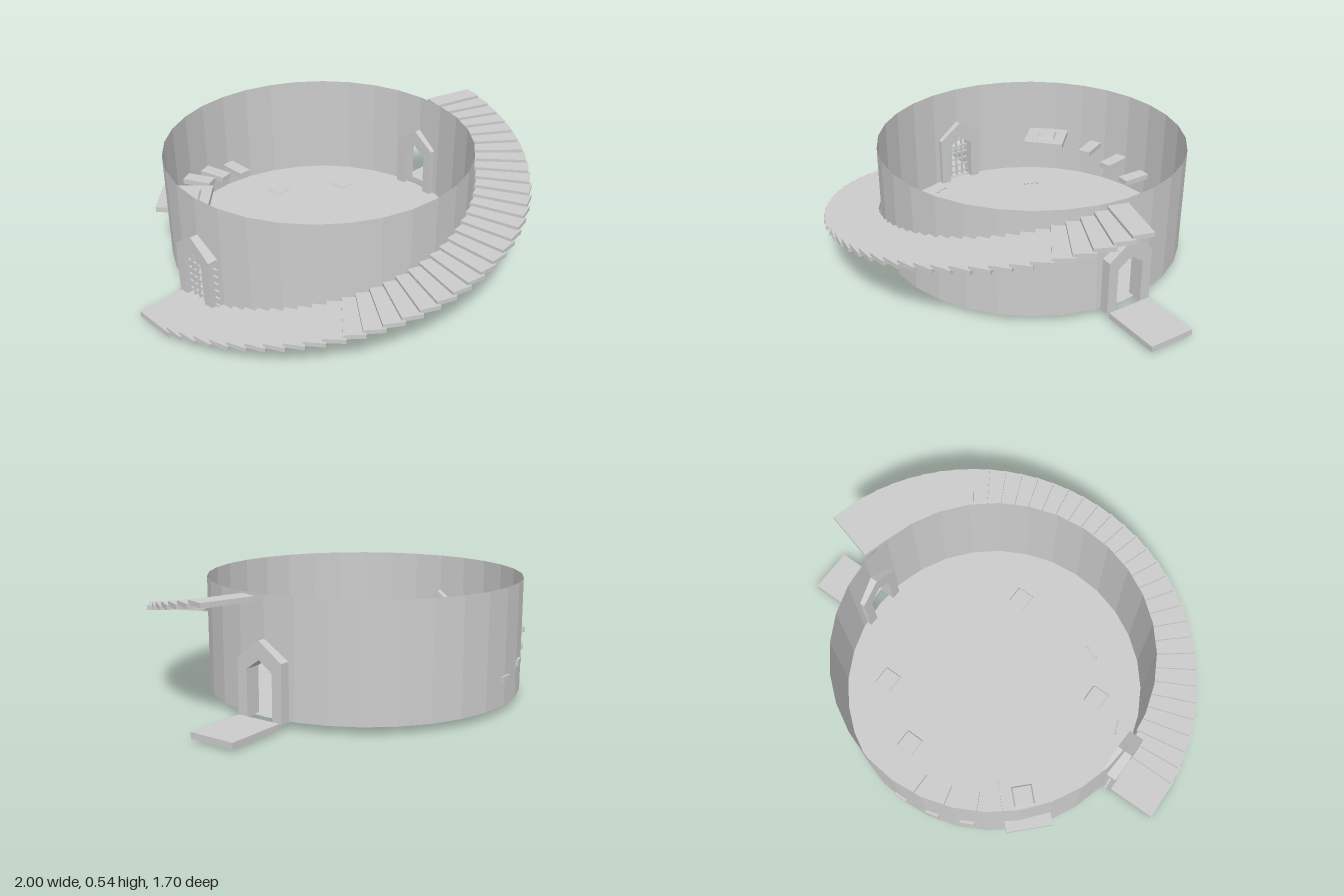
import * as THREE from 'three';

const CX = -0.03, CZ = -0.128, R = 0.712, SIDES = 32;
const FLOOR = 0.035, TOP = 0.54;

export function createModel() {
  const root = new THREE.Group();
  const mat = new THREE.MeshStandardMaterial({ color: 0xcccccc, flatShading: true });
  const thin = new THREE.MeshStandardMaterial({ color: 0xcccccc, flatShading: true, side: THREE.DoubleSide });

  // everything is placed around the axis of the round wall
  const tower = new THREE.Group();
  tower.name = 'tower';
  tower.position.set(CX, 0, CZ);
  root.add(tower);

  const add = (name, geo, x = 0, y = 0, z = 0, parent = tower, material = mat) => {
    const m = new THREE.Mesh(geo, material);
    m.name = name;
    m.position.set(x, y, z);
    parent.add(m);
    return m;
  };
  const box = (name, w, h, d, x, y, z, parent) =>
    add(name, new THREE.BoxGeometry(w, h, d), x, y, z, parent);
  const polygon = pts => new THREE.Shape(pts.map(p => new THREE.Vector2(p[0], p[1])));

  // thin faceted wall; the facets beside each door carry half of its pointed opening
  const doorHalf = 0.065, doorEaves = 0.235, doorApex = 0.28;
  const facetWidth = 2 * R * Math.sin(Math.PI / SIDES);
  const wall = new THREE.Group();
  wall.name = 'roundWall';
  tower.add(wall);
  for (let i = 0; i < SIDES; i++) {
    const doorAtStart = i % 16 === 0, doorAtEnd = i % 16 === 15;
    const w = facetWidth;
    const shape = doorAtStart || doorAtEnd
      ? polygon([[doorHalf, FLOOR], [w, FLOOR], [w, TOP], [0, TOP], [0, doorApex], [doorHalf, doorEaves]])
      : polygon([[0, FLOOR], [w, FLOOR], [w, TOP], [0, TOP]]);
    const geo = new THREE.ShapeGeometry(shape);
    const a0 = (i / SIDES) * Math.PI * 2, a1 = ((i + 1) / SIDES) * Math.PI * 2;
    const p = geo.attributes.position;
    for (let k = 0; k < p.count; k++) {
      let u = p.getX(k) / w;
      if (doorAtEnd) u = 1 - u;
      p.setXYZ(k,
        R * THREE.MathUtils.lerp(Math.cos(a0), Math.cos(a1), u),
        p.getY(k),
        R * THREE.MathUtils.lerp(Math.sin(a0), Math.sin(a1), u));
    }
    geo.computeVertexNormals();
    add('wallFacet', geo, 0, 0, 0, wall, thin);
  }

  // floor
  const floor = new THREE.CircleGeometry(R, SIDES);
  floor.rotateX(-Math.PI / 2);
  add('floor', floor, 0, FLOOR, 0, tower, thin);

  // door frames with pointed tops, and the landings outside them
  const frameShape = polygon([
    [-0.113, 0.03], [-doorHalf, 0.03], [-doorHalf, doorEaves], [0, doorApex], [doorHalf, doorEaves],
    [doorHalf, 0.03], [0.113, 0.03], [0.113, 0.28], [0, 0.36], [-0.113, 0.28],
  ]);
  for (const side of [1, -1]) {
    const geo = new THREE.ExtrudeGeometry(frameShape, { depth: 0.072, bevelEnabled: false });
    geo.translate(0, 0, -0.036);
    geo.rotateY(Math.PI / 2);
    add('doorFrame', geo, side * 0.712, 0, 0);
  }
  box('entranceLanding', 0.275, 0.027, 0.215, 0.8925, 0.0245, 0);
  box('gateLanding', 0.26, 0.027, 0.205, -0.84, 0.0245, 0);

  // barred gate
  const gate = new THREE.Group();
  gate.name = 'barredGate';
  gate.position.x = -0.724;
  tower.add(gate);
  for (let i = -3; i <= 3; i++) {
    const h = 0.27 - Math.abs(i) * 0.015;
    box('uprightBar', 0.009, h, 0.009, 0, h / 2, i * 0.034, gate);
  }
  for (let i = 0; i < 6; i++) box('crossBar', 0.009, 0.009, 0.28, 0, 0.06 + i * 0.037, 0, gate);

  // outer stair winding round the front, rising from the gate to above the entrance
  const STEPS = 36;
  const stair = new THREE.Group();
  stair.name = 'outerStair';
  tower.add(stair);
  for (let i = 0; i < STEPS; i++) {
    const t = i / (STEPS - 1);
    const turn = new THREE.Group();
    turn.name = 'stepTurn';
    turn.rotation.y = -THREE.MathUtils.degToRad(THREE.MathUtils.lerp(180, 15.5, t));
    stair.add(turn);
    box('step', 0.247, 0.02, 0.092, 0.8385, 0.041 + t * 0.483, -0.127, turn);
  }

  // inner ledges climbing the back wall
  for (let i = 0; i < 3; i++) {
    const turn = new THREE.Group();
    turn.name = 'ledgeTurn';
    turn.rotation.y = THREE.MathUtils.degToRad(i * 13.3);
    tower.add(turn);
    box('wallLedge', 0.063, 0.026, 0.155, 0, 0.152 + i * 0.036, -0.643, turn);
  }

  // low square plates with sloping rims
  const plate = (x, y, z, turn, parent) => {
    const geo = new THREE.CylinderGeometry(0.04 * Math.SQRT2, 0.048 * Math.SQRT2, 0.015, 4);
    geo.rotateY(Math.PI / 4 + turn);
    add('squarePlate', geo, x, y, z, parent);
  };
  for (const [x, z] of [[0.12, -0.605], [0.4, -0.415], [-0.475, 0.1], [0.12, 0.31]])
    plate(x, 0.037, z, 0, root);

  // square shelf through the wall, with a plate on top
  box('cornerShelf', 0.24, 0.026, 0.205, -0.475, 0.26, -0.422).rotation.y = -Math.PI / 4;
  plate(-0.485, 0.278, -0.535, Math.PI / 4, root);

  // small bones lying on the floor
  const bone = (x0, z0, x1, z1) => {
    const g = new THREE.Group();
    g.name = 'bone';
    g.position.set((x0 + x1) / 2, FLOOR + 0.006, (z0 + z1) / 2);
    g.rotation.y = -Math.atan2(z1 - z0, x1 - x0);
    root.add(g);
    const len = Math.hypot(x1 - x0, z1 - z0);
    const shaft = new THREE.CylinderGeometry(0.003, 0.003, len, 6);
    shaft.rotateZ(Math.PI / 2);
    add('shaft', shaft, 0, 0, 0, g);
    for (const sx of [-1, 1]) for (const sz of [-1, 1])
      add('knob', new THREE.IcosahedronGeometry(0.005, 1), sx * len / 2, 0, sz * 0.004, g);
  };
  bone(-0.435, -0.445, -0.455, -0.38);
  bone(-0.65, 0.0, -0.627, 0.06);
  bone(-0.36, 0.262, -0.297, 0.285);

  return root;
}
